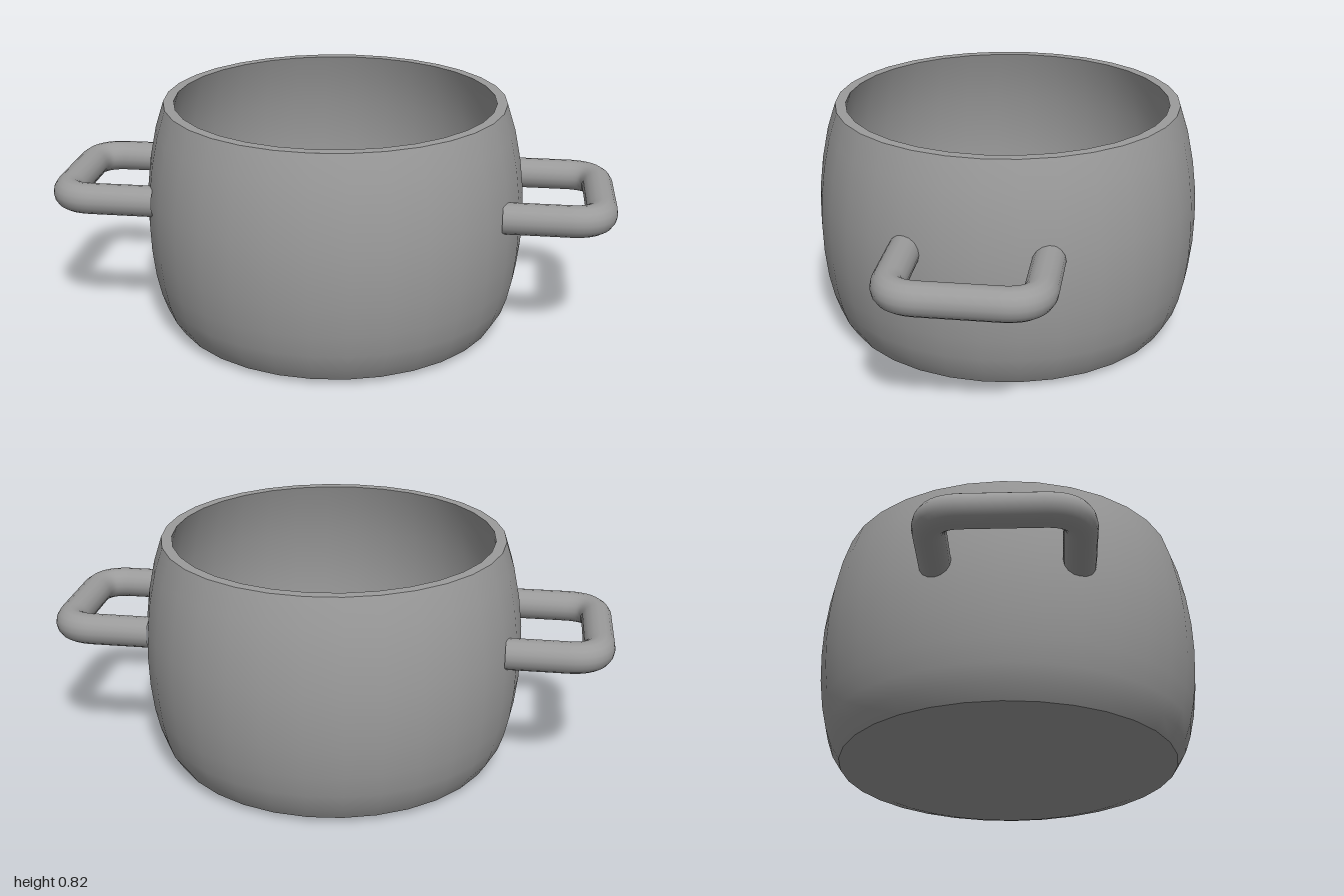
import * as THREE from 'three';

const material = new THREE.MeshStandardMaterial({ color: 0x9b9b9b });

function addLathe(parent, name, profile) {
  const points = profile.map(([r, y]) => new THREE.Vector2(r, y));
  const geometry = new THREE.LatheGeometry(points, 32);
  geometry.normalizeNormals(); // the last lathe ring is left unnormalized
  const mesh = new THREE.Mesh(geometry, material);
  mesh.name = name;
  parent.add(mesh);
}

// Rounded U-shaped bar; side is +1 for left, -1 for right
function makeHandle(side) {
  const y = 0.495, outer = 0.945, front = 0.255, back = -0.217, bend = 0.11;
  const p = (x, z) => new THREE.Vector3(side * x, y, z);
  const path = new THREE.CurvePath();
  path.add(new THREE.LineCurve3(p(0.606, front), p(outer - bend, front)));
  path.add(new THREE.QuadraticBezierCurve3(p(outer - bend, front), p(outer, front), p(outer, front - bend)));
  path.add(new THREE.LineCurve3(p(outer, front - bend), p(outer, back + bend)));
  path.add(new THREE.QuadraticBezierCurve3(p(outer, back + bend), p(outer, back), p(outer - bend, back)));
  path.add(new THREE.LineCurve3(p(outer - bend, back), p(0.625, back)));
  const mesh = new THREE.Mesh(new THREE.TubeGeometry(path, 64, 0.055, 16), material);
  mesh.name = side > 0 ? 'leftHandle' : 'rightHandle';
  return mesh;
}

export function createModel() {
  const model = new THREE.Group();
  model.name = 'cookingPot';

  // Bulging wall, from the base edge up to the rim
  const wall = [[0.597, 0.02], [0.628, 0.07], [0.648, 0.13], [0.665, 0.21], [0.676, 0.31],
    [0.679, 0.41], [0.675, 0.51], [0.661, 0.62], [0.638, 0.73], [0.608, 0.822]];
  // Inner side follows the wall down to the floor edge
  const thickness = 0.037;
  const inner = wall.slice(1).map(([r, y]) => [r - thickness, y]).reverse();
  const floorEdge = [0.578, 0.04];

  const body = new THREE.Group();
  body.name = 'body';
  model.add(body);
  addLathe(body, 'base', [[0, 0], [0.53, 0], wall[0]]);
  addLathe(body, 'outerWall', wall);
  addLathe(body, 'rim', [wall[wall.length - 1], inner[0]]);
  addLathe(body, 'innerWall', [...inner, floorEdge]);
  addLathe(body, 'innerFloor', [floorEdge, [0, 0.04]]);

  // Side handles
  for (const side of [1, -1]) model.add(makeHandle(side));
  return model;
}
